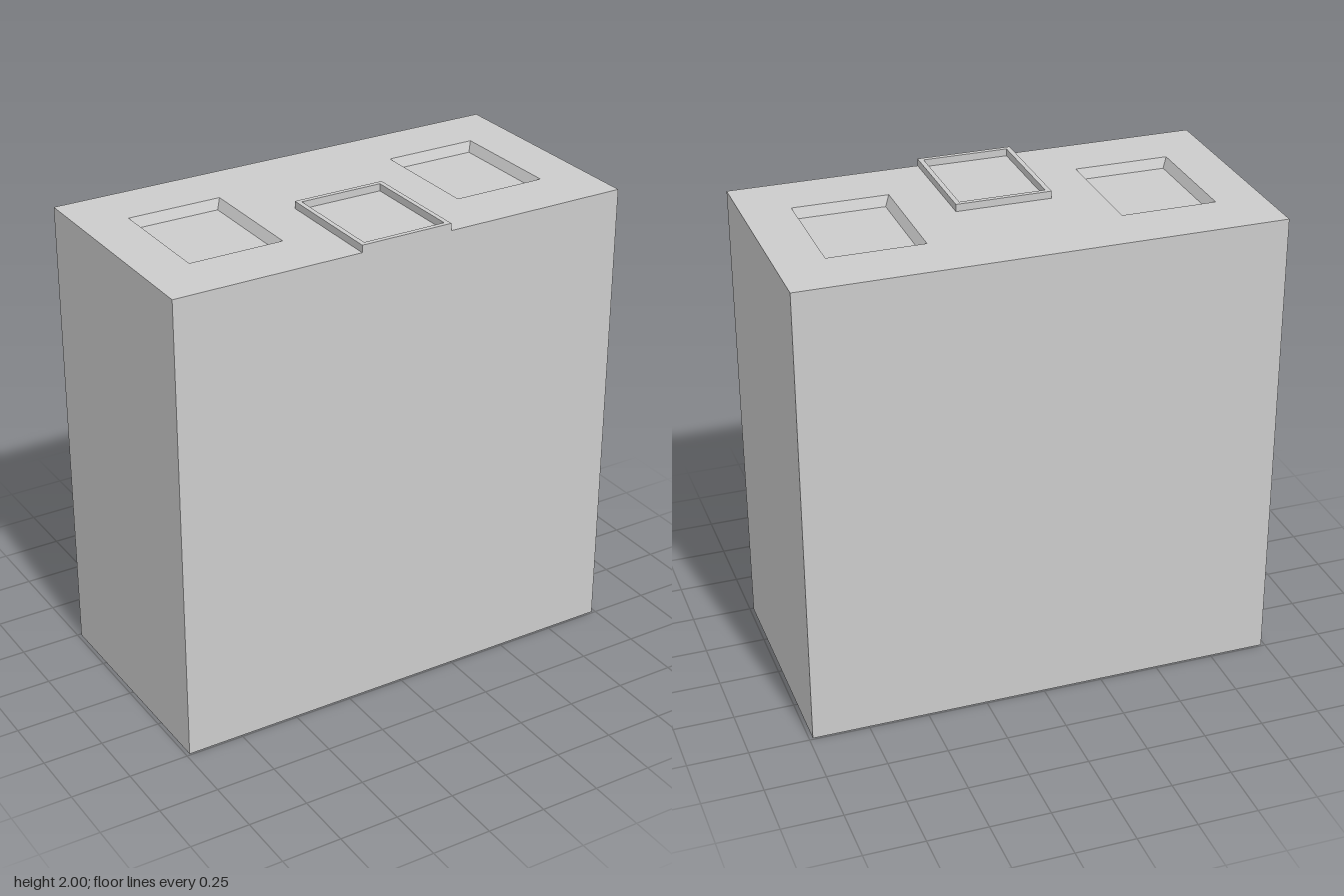
import * as THREE from 'three';

const W = 1.97, H = 1.97, D = 0.985;   // main block
const POCKET = { x: 0.59, w: 0.394, d: 0.492, depth: 0.04, inset: 0.02 };
const RIM = { w: 0.394, d: 0.4925, h: 0.03, wall: 0.02 };

const material = new THREE.MeshStandardMaterial({ color: 0xcccccc, flatShading: true });

function addPart(group, name, geometry) {
  const mesh = new THREE.Mesh(geometry, material);
  mesh.name = name;
  group.add(mesh);
  return mesh;
}

// Rectangle path centred on (x, y)
function rectangle(path, x, y, w, h) {
  return path.moveTo(x - w / 2, y - h / 2).lineTo(x + w / 2, y - h / 2)
    .lineTo(x + w / 2, y + h / 2).lineTo(x - w / 2, y + h / 2).closePath();
}

// Box without its top face, with the top edge at y = 0
function openBox(w, h, d) {
  const geometry = new THREE.BoxGeometry(w, h, d).translate(0, -h / 2, 0);
  const index = Array.from(geometry.index.array);
  index.splice(12, 6);
  geometry.setIndex(index);
  geometry.clearGroups();
  return geometry;
}

// Inward-facing open box whose walls taper towards the floor
function pocketGeometry({ w, d, depth, inset }) {
  const geometry = openBox(w, depth, d);
  const p = geometry.attributes.position;
  for (let i = 0; i < p.count; i++) {
    if (p.getY(i) > -depth / 2) continue;
    p.setX(i, p.getX(i) - Math.sign(p.getX(i)) * inset);
    p.setZ(i, p.getZ(i) - Math.sign(p.getZ(i)) * inset);
  }
  geometry.setIndex(Array.from(geometry.index.array).reverse());
  geometry.computeVertexNormals();
  return geometry;
}

export function createModel() {
  const model = new THREE.Group();
  model.name = 'block';

  // Sides and bottom
  addPart(model, 'body', openBox(W, H, D)).position.y = H;

  // Top surface with two openings
  const top = rectangle(new THREE.Shape(), 0, 0, W, D);
  for (const side of [-1, 1]) {
    top.holes.push(rectangle(new THREE.Path(), side * POCKET.x, 0, POCKET.w, POCKET.d));
  }
  addPart(model, 'topSurface', new THREE.ShapeGeometry(top).rotateX(-Math.PI / 2)).position.y = H;

  // Tapered pockets sunk into the top
  for (const [name, side] of [['rightPocket', -1], ['leftPocket', 1]]) {
    addPart(model, name, pocketGeometry(POCKET)).position.set(side * POCKET.x, H, 0);
  }

  // Raised rectangular rim, flush with the front
  const rim = rectangle(new THREE.Shape(), 0, 0, RIM.w, RIM.d);
  rim.holes.push(rectangle(new THREE.Path(), 0, 0, RIM.w - 2 * RIM.wall, RIM.d - 2 * RIM.wall));
  const rimGeometry = new THREE.ExtrudeGeometry(rim, { depth: RIM.h, bevelEnabled: false })
    .rotateX(-Math.PI / 2);
  addPart(model, 'raisedRim', rimGeometry).position.set(0, H, (D - RIM.d) / 2);

  return model;
}
